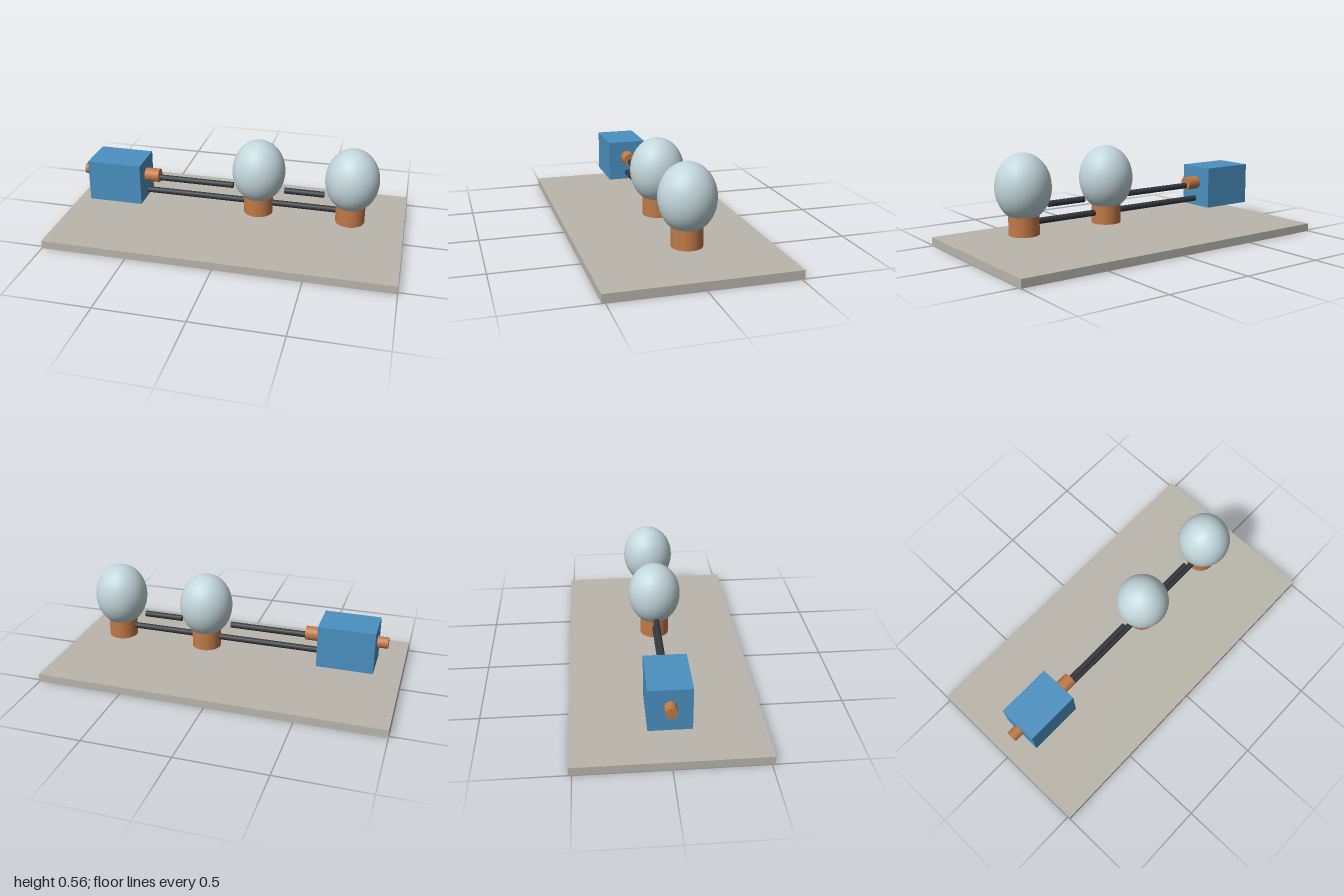
import * as THREE from 'three';

const material = (name, color) => {
  const m = new THREE.MeshStandardMaterial({ color });
  m.name = name;
  return m;
};

export function createModel() {
  const board = material('board grey', 0xbab6ac);
  const blue = material('battery blue', 0x4a90c0);
  const copper = material('copper', 0xc17a48);
  const wire = material('wire black', 0x33383d);
  const glass = material('pale glass', 0xc2d6db);

  const model = new THREE.Group();
  model.name = 'bulbCircuit';

  const add = (name, geometry, mat, x, y, parent = model) => {
    const mesh = new THREE.Mesh(geometry, mat);
    mesh.name = name;
    mesh.position.set(x, y, 0);
    parent.add(mesh);
    return mesh;
  };

  // Cylinder lying along x between two ends
  const rod = (name, mat, x0, x1, y, r, sides, parent) =>
    add(name, new THREE.CylinderGeometry(r, r, x1 - x0, sides).rotateZ(-Math.PI / 2),
      mat, (x0 + x1) / 2, y, parent);

  // Base board
  add('baseBoard', new THREE.BoxGeometry(2, 0.047, 1.036), board, 0, 0.0235);

  // Battery and its terminals
  const battery = new THREE.Group();
  battery.name = 'battery';
  model.add(battery);
  add('batteryCase', new THREE.BoxGeometry(0.32, 0.244, 0.231), blue, -0.695, 0.258, battery);
  rod('rearTerminal', copper, -0.916, -0.855, 0.282, 0.032, 24, battery);
  rod('frontTerminal', copper, -0.535, -0.45, 0.281, 0.04, 24, battery);

  // Wires: upper run is broken at the bulbs, lower run passes through the first socket
  rod('upperWire', wire, -0.45, 0, 0.268, 0.0175, 16);
  rod('upperLinkWire', wire, 0.305, 0.536, 0.268, 0.0175, 16);
  rod('lowerWire', wire, -0.526, 0.152, 0.181, 0.0175, 16);
  rod('lowerLinkWire', wire, 0.152, 0.69, 0.181, 0.0175, 16);

  // Bulbs in their sockets
  for (const x of [0.152, 0.69]) {
    const bulb = new THREE.Group();
    bulb.name = 'bulb';
    bulb.position.x = x;
    model.add(bulb);
    add('socket', new THREE.CylinderGeometry(0.084, 0.084, 0.107, 32), copper, 0, 0.1715, bulb);
    add('globe', new THREE.SphereGeometry(0.153, 40, 28).scale(1, 1.205, 1), glass, 0, 0.378, bulb);
  }

  return model;
}
